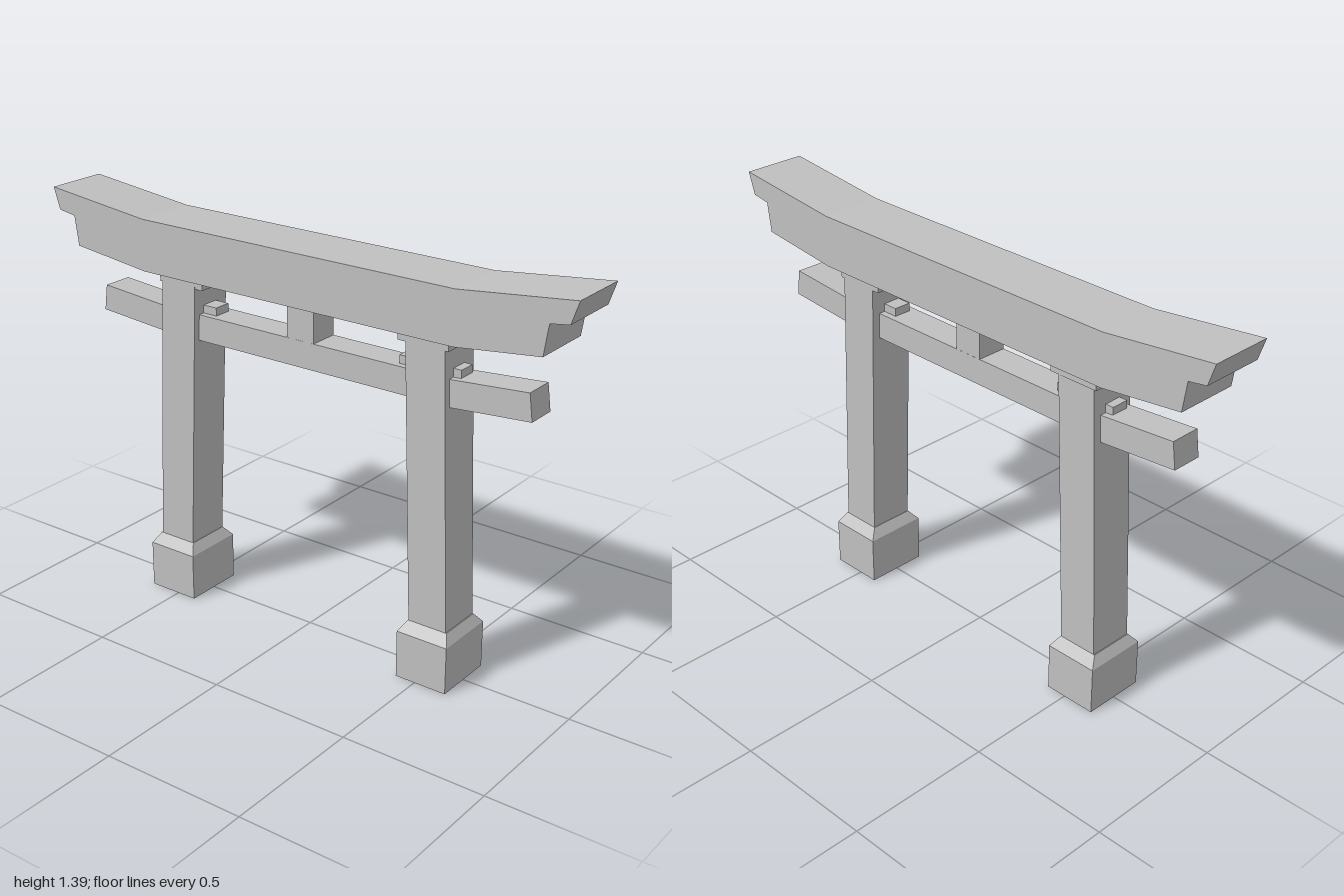
import * as THREE from 'three';

export function createModel() {
  const gate = new THREE.Group();
  gate.name = 'gate';
  const stone = new THREE.MeshStandardMaterial({ color: 0xc0c0c0 });
  stone.name = 'grey stone';

  const add = (name, geometry, x = 0, y = 0, z = 0) => {
    const mesh = new THREE.Mesh(geometry, stone);
    mesh.name = name;
    mesh.position.set(x, y, z);
    gate.add(mesh);
  };

  // Beam from the right half of its outline, listed top to bottom and mirrored
  const beam = (name, half, depth) => {
    const mirrored = half.map(([x, y]) => [-x, y]).reverse();
    const shape = new THREE.Shape([...half, ...mirrored].map(([x, y]) => new THREE.Vector2(x, y)));
    const geometry = new THREE.ExtrudeGeometry(shape, { depth, bevelEnabled: false });
    add(name, geometry, 0, 0, -depth / 2);
  };

  // Box whose bottom and top rectangles differ: [x0, x1, z0, z1]
  const taper = (low, high, y0, y1) => {
    const geometry = new THREE.BoxGeometry(1, 1, 1);
    const p = geometry.attributes.position;
    for (let i = 0; i < p.count; i++) {
      const top = p.getY(i) > 0;
      const r = top ? high : low;
      p.setXYZ(i, p.getX(i) < 0 ? r[0] : r[1], top ? y1 : y0, p.getZ(i) < 0 ? r[2] : r[3]);
    }
    geometry.computeVertexNormals();
    return geometry;
  };

  // Upswept double top lintel
  beam('topLintel', [
    [0.6, 1.345], [1, 1.39], [0.975, 1.315], [0.91, 1.305], [0.895, 1.203], [0.6, 1.168],
  ], 0.22);
  // Lower tie beam with raised ends
  beam('tieBeam', [[0.56, 1.04], [0.83, 1.062], [0.842, 0.972], [0.56, 0.95]], 0.107);
  // Short centre strut, set into the tie beam
  add('centreStrut', new THREE.BoxGeometry(0.104, 0.14, 0.106), 0, 1.1, 0);
  add('strutSeat', new THREE.BoxGeometry(0.104, 0.012, 0.106), 0, 1.034, 0);

  for (const [side, s] of [['left', 1], ['right', -1]]) {
    const span = (a, b, z0, z1) => (s > 0 ? [a, b, z0, z1] : [-b, -a, z0, z1]);
    const base = span(0.428, 0.615, -0.11, 0.11);
    const collar = span(0.45, 0.595, -0.08, 0.08);
    // Plinth with sloped shoulder
    add(side + 'Plinth', taper(base, base, 0, 0.165));
    add(side + 'Shoulder', taper(base, collar, 0.165, 0.2));
    // Inward-leaning post
    add(side + 'Post', taper(span(0.452, 0.592, -0.08, 0.08), span(0.411, 0.551, -0.083, 0.077), 0.19, 1.17));
    // Bearing block under the lintel
    add(side + 'Cap', new THREE.BoxGeometry(0.18, 0.036, 0.161), s * 0.473, 1.152, -0.005);
    // Wedge driven through the post above the tie beam
    add(side + 'Wedge', new THREE.BoxGeometry(0.222, 0.03, 0.062), s * 0.473, 1.053, 0);
  }
  return gate;
}
